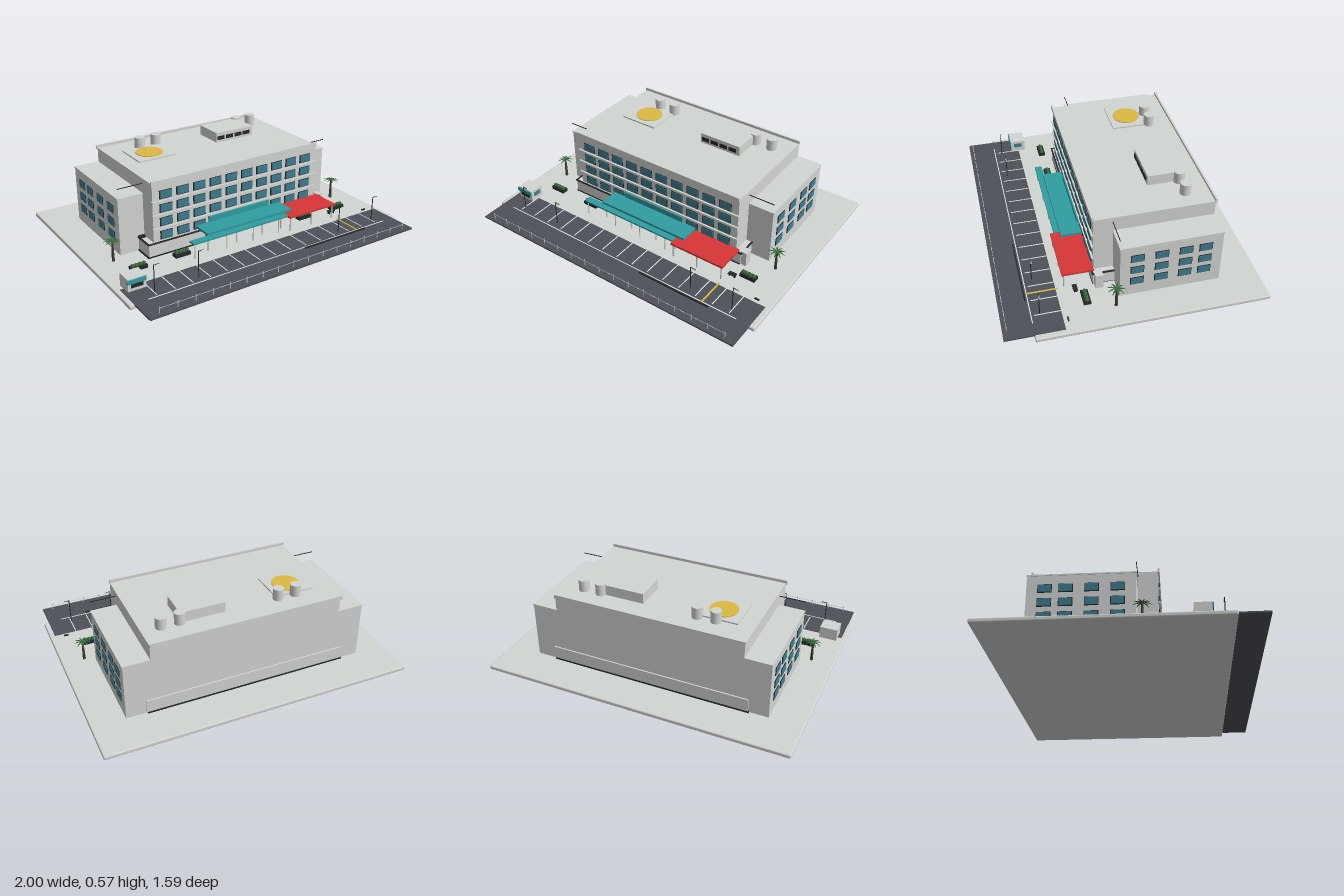
import * as THREE from 'three';
import { RoundedBoxGeometry } from 'three/addons/geometries/RoundedBoxGeometry.js';

const mat = (name, color, extra = {}) => {
  const m = new THREE.MeshStandardMaterial({ color, ...extra });
  m.name = name;
  return m;
};

export function createModel() {
  const root = new THREE.Group();
  root.name = 'hospitalSite';
  const wall = mat('paleConcrete', 0xd2d6d3);
  const teal = mat('teal', 0x2f9da1);
  const red = mat('red', 0xd93636);
  const asphalt = mat('asphalt', 0x4d5157);
  const yellow = mat('yellow', 0xdcb943);
  const glass = mat('blueGlass', 0x3f7d8e);
  const dark = mat('darkMetal', 0x25292b);
  const green = mat('leafGreen', 0x3a6b3a, { side: THREE.DoubleSide });
  const white = mat('whitePaint', 0xe6e8e6);
  const trunkMat = mat('trunkBrown', 0x453c30);

  const add = (name, geo, m, x, y, z, parent = root) => {
    const mesh = new THREE.Mesh(geo, m);
    mesh.name = name;
    mesh.position.set(x, y, z);
    parent.add(mesh);
    return mesh;
  };
  // Box given by its extents along each axis
  const box = (name, m, x0, x1, y0, y1, z0, z1, parent = root) =>
    add(name, new THREE.BoxGeometry(x1 - x0, y1 - y0, z1 - z0), m,
      (x0 + x1) / 2, (y0 + y1) / 2, (z0 + z1) / 2, parent);
  const post = (name, m, x, y0, y1, z, r, parent = root, sides = 8) =>
    add(name, new THREE.CylinderGeometry(r, r, y1 - y0, sides), m, x, (y0 + y1) / 2, z, parent);
  const group = (name) => {
    const g = new THREE.Group();
    g.name = name;
    root.add(g);
    return g;
  };
  const G = 0.027; // ground level

  // Ground
  add('groundSlab', new RoundedBoxGeometry(2, G, 1.415, 2, 0.008), wall, 0, G / 2, -0.0925);
  box('parkingLot', asphalt, -0.97, 0.967, 0.02, 0.03, 0.435, 0.79);
  const marks = group('parkingMarkings');
  for (let k = -7; k <= 7; k++) {
    const x = k * 0.1176;
    box('stallLine', white, x - 0.003, x + 0.003, 0.03, 0.032, 0.435, 0.595, marks);
  }
  box('laneLine', white, -0.885, 0.88, 0.03, 0.032, 0.609, 0.615, marks);
  box('yellowLine', yellow, 0.64, 0.65, 0.03, 0.033, 0.42, 0.615, marks);
  box('lowRail', dark, 0.2, 0.7, 0.03, 0.038, 0.624, 0.632);

  // Main block, side wings and ground floor podium
  box('mainBlock', wall, -0.62, 0.62, G, 0.497, -0.547, 0.195);
  for (const z of [-0.552, 0.198])
    box('parapet', wall, -0.627, 0.62, 0.488, 0.515, z - 0.006, z + 0.006);
  box('podium', wall, -0.66, 0.66, 0.036, 0.118, -0.556, 0.208);
  box('podiumPlinth', dark, -0.667, 0.655, G, 0.036, -0.56, 0.21);
  box('podiumTrim', dark, -0.667, 0.66, 0.115, 0.122, 0.205, 0.215);
  for (const s of [-1, 1]) {
    box('podiumSideTrim', dark, s * 0.662 - 0.005, s * 0.662 + 0.005, 0.115, 0.122, 0.075, 0.215);
    const [a, b] = s > 0 ? [0.615, 0.787] : [-0.787, -0.615];
    box('sideWing', wall, a, b, G, 0.393, -0.547, 0.075);
    box('wingRoofEdge', wall, a - 0.003, b + 0.003, 0.393, 0.402, -0.55, 0.078);
    box('wallRod', dark, a, b, 0.463, 0.467, 0.075, 0.079);
  }
  box('roofVent', dark, -0.665, -0.625, 0.118, 0.13, 0.078, 0.105);

  // Front windows with dark reveals, and floor ledges
  const front = group('frontWindows');
  for (let r = 0; r < 4; r++) {
    const y = 0.157 + r * 0.088;
    for (let c = 0; c < 10; c++) {
      const x = (c - 4.5) * 0.1176;
      box('windowFrame', dark, x - 0.045, x + 0.041, y - 0.028, y + 0.026, 0.194, 0.2, front);
      box('windowPane', glass, x - 0.039, x + 0.039, y - 0.023, y + 0.024, 0.198, 0.203, front);
    }
    if (r) box('floorLedge', wall, -0.625, 0.622, y - 0.046, y - 0.036, 0.19, 0.207, front);
  }

  // Side windows
  const side = group('sideWindows');
  for (const s of [-1, 1])
    for (const z of [-0.028, -0.175, -0.322, -0.442])
      for (const y of [0.135, 0.222, 0.311]) {
        const f = s * 0.788, p = s * 0.791;
        box('windowFrame', dark, f - 0.003, f + 0.003, y - 0.027, y + 0.026, z - 0.041, z + 0.041, side);
        box('windowPane', glass, p - 0.003, p + 0.003, y - 0.023, y + 0.023, z - 0.037, z + 0.037, side);
      }

  // Roof: plant room, tanks and landing pad
  box('plantRoom', wall, 0.088, 0.378, 0.49, 0.564, -0.4, -0.198);
  for (let i = 0; i < 4; i++)
    box('plantLouvre', dark, 0.097 + i * 0.068, 0.15 + i * 0.068, 0.515, 0.54, -0.2, -0.193);
  for (const x of [-0.385, -0.267, 0.38, 0.498])
    post('roofTank', wall, x, 0.49, 0.572, -0.398, 0.034, root, 24);
  box('landingPad', wall, -0.517, -0.257, 0.49, 0.506, -0.385, -0.15);
  post('landingCircle', yellow, -0.385, 0.506, 0.51, -0.27, 0.089, root, 40);

  // Entrance: glazing, sign panel and canopies on posts
  box('entranceGlass', glass, -0.26, 0.26, 0.036, 0.142, 0.206, 0.216);
  for (let i = 0; i <= 8; i++) {
    const x = -0.26 + i * 0.065;
    box('entranceMullion', dark, x - 0.002, x + 0.002, 0.036, 0.142, 0.214, 0.219);
  }
  box('signPanel', teal, -0.235, 0.227, 0.159, 0.196, 0.2, 0.212);
  box('entranceCanopy', teal, -0.325, 0.322, 0.14, 0.155, 0.197, 0.333);
  box('walkwayCanopy', teal, -0.445, 0.265, 0.125, 0.136, 0.322, 0.37);
  box('emergencyCanopy', red, 0.265, 0.643, 0.121, 0.134, 0.197, 0.393);
  for (const x of [-0.31, -0.1, 0.1, 0.25]) post('canopyPost', wall, x, G, 0.14, 0.318, 0.005);
  for (const x of [-0.43, -0.2, 0, 0.2]) post('walkwayPost', wall, x, G, 0.125, 0.358, 0.004);
  for (const x of [0.28, 0.455, 0.63]) post('emergencyPost', wall, x, G, 0.121, 0.38, 0.005);

  // Gate kiosk
  box('kiosk', wall, -0.945, -0.828, G, 0.108, 0.387, 0.487);
  box('kioskBand', teal, -0.95, -0.83, 0.077, 0.103, 0.486, 0.494);
  box('kioskWindow', dark, -0.925, -0.85, 0.05, 0.074, 0.486, 0.49);
  box('kioskSideWindow', glass, -0.829, -0.825, 0.06, 0.09, 0.41, 0.465);

  // Palms: tapered trunk and drooping blades
  const leafShape = new THREE.Shape();
  leafShape.moveTo(0, -0.002);
  leafShape.quadraticCurveTo(0.03, -0.009, 0.056, 0);
  leafShape.quadraticCurveTo(0.03, 0.009, 0, 0.002);
  const leaf = new THREE.ShapeGeometry(leafShape, 6).rotateX(-Math.PI / 2);
  const lp = leaf.attributes.position;
  for (let i = 0; i < lp.count; i++) {
    const t = lp.getX(i) / 0.056;
    lp.setY(i, 0.022 * t - 0.03 * t * t);
  }
  leaf.computeVertexNormals();
  for (const s of [-1, 1]) {
    const palm = group('palmTree');
    palm.position.set(s * 0.853, G, 0.112);
    add('palmTrunk', new THREE.CylinderGeometry(0.006, 0.01, 0.135, 8), trunkMat, 0, 0.0675, 0, palm);
    for (let i = 0; i < 9; i++)
      add('palmFrond', leaf, green, 0, 0.135, 0, palm).rotation.y = i * Math.PI * 2 / 9;
  }

  // Planters with shrubs
  for (const x of [-0.77, -0.475, 0.475, 0.76]) {
    const p = group('planter');
    p.position.set(x, G, 0.275);
    box('planterBox', dark, -0.052, 0.052, 0, 0.022, -0.022, 0.022, p);
    for (let i = 0; i < 4; i++)
      add('shrub', new THREE.IcosahedronGeometry(0.014, 1), green, -0.036 + i * 0.024, 0.026, 0, p);
  }

  // Street lamps
  for (const x of [-0.818, -0.53, 0.53, 0.82]) {
    const lamp = group('streetLamp');
    post('lampPole', dark, x, 0.03, 0.2, 0.56, 0.0028, lamp);
    box('lampArm', dark, x, x + 0.035, 0.197, 0.2, 0.5585, 0.5615, lamp);
    box('lampHead', white, x + 0.012, x + 0.04, 0.193, 0.198, 0.556, 0.564, lamp);
  }

  // Street fence
  const fence = group('streetFence');
  for (let i = 0; i <= 16; i++)
    post('fencePost', wall, -0.9 + i * 0.1125, 0.03, 0.072, 0.765, 0.0025, fence, 6);
  box('fenceRail', wall, -0.9, 0.9, 0.06, 0.062, 0.764, 0.766, fence);

  // Benches and litter bin near the emergency entrance
  box('benchSeat', dark, 0.65, 0.7, 0.042, 0.048, 0.308, 0.336);
  for (const x of [0.657, 0.693]) box('benchLeg', dark, x - 0.003, x + 0.003, G, 0.042, 0.312, 0.332);
  box('bin', wall, 0.655, 0.695, G, 0.125, 0.15, 0.2);
  box('wheelStop', dark, 0.88, 0.91, G, 0.036, 0.404, 0.412);
  return root;
}
